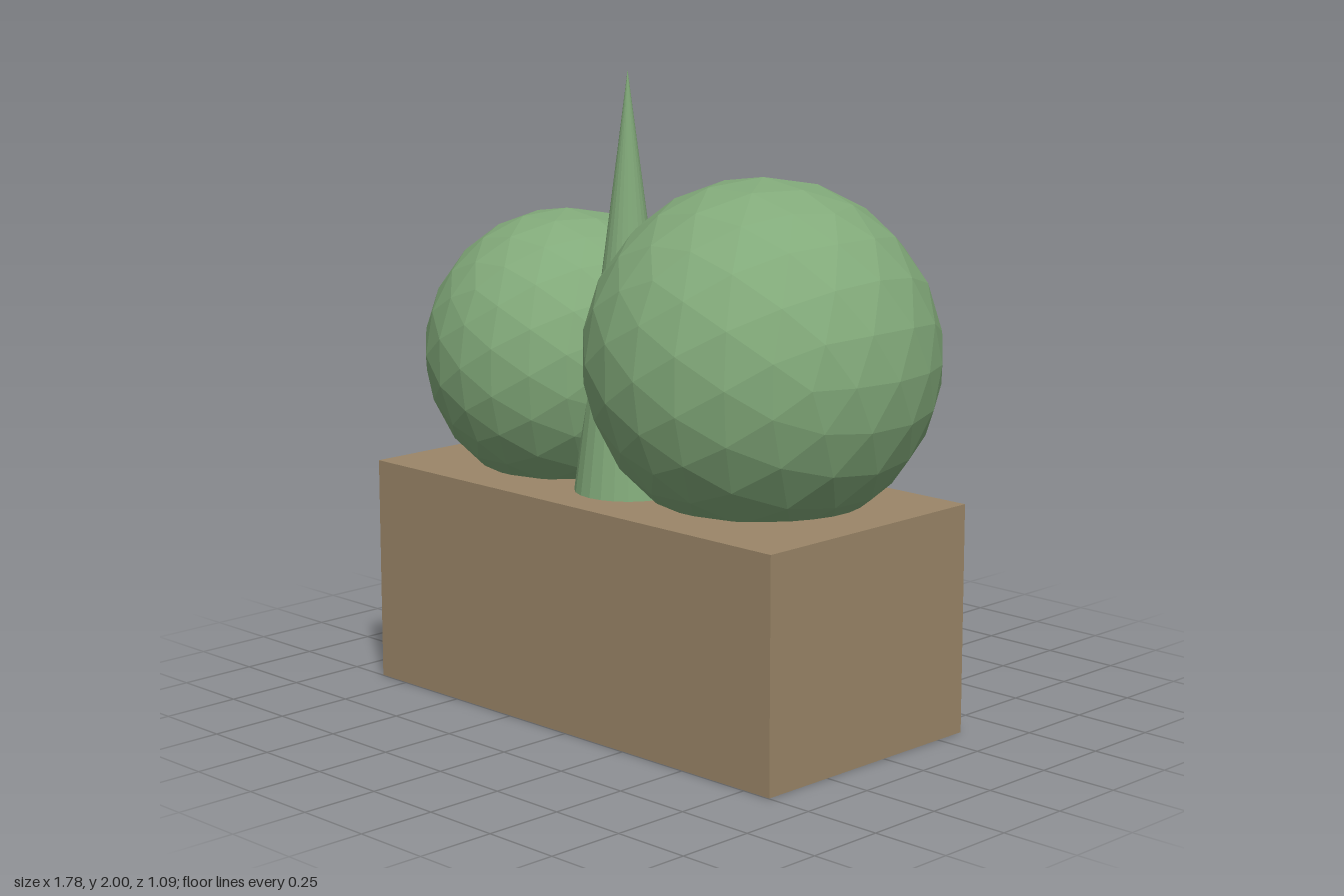
import * as THREE from 'three';

export function createModel() {
  const model = new THREE.Group();
  const foliage = new THREE.MeshStandardMaterial({ color: 0x82aa7a, flatShading: true });
  foliage.name = 'leaf green';
  const clay = new THREE.MeshStandardMaterial({ color: 0x9b8668, flatShading: true });
  clay.name = 'planter brown';

  const add = (name, geometry, material, x, y, z) => {
    const mesh = new THREE.Mesh(geometry, material);
    mesh.name = name;
    mesh.position.set(x, y, z);
    model.add(mesh);
  };

  // Rectangular planter
  const height = 0.715;
  add('planter', new THREE.BoxGeometry(1.715, height, 0.855), clay, -0.01, height / 2, 0.07);

  // Faceted round bushes, sunk slightly into the planter
  add('largeBush', new THREE.IcosahedronGeometry(0.545, 3), foliage, 0.345, 1.145, 0);
  add('smallBush', new THREE.IcosahedronGeometry(0.455, 3), foliage, -0.435, 1.075, 0.07);

  // Slender conical shrub between the bushes
  const coneHeight = 2 - height;
  add('coneShrub', new THREE.ConeGeometry(0.168, coneHeight, 24), foliage, -0.01, height + coneHeight / 2, 0.215);

  return model;
}
